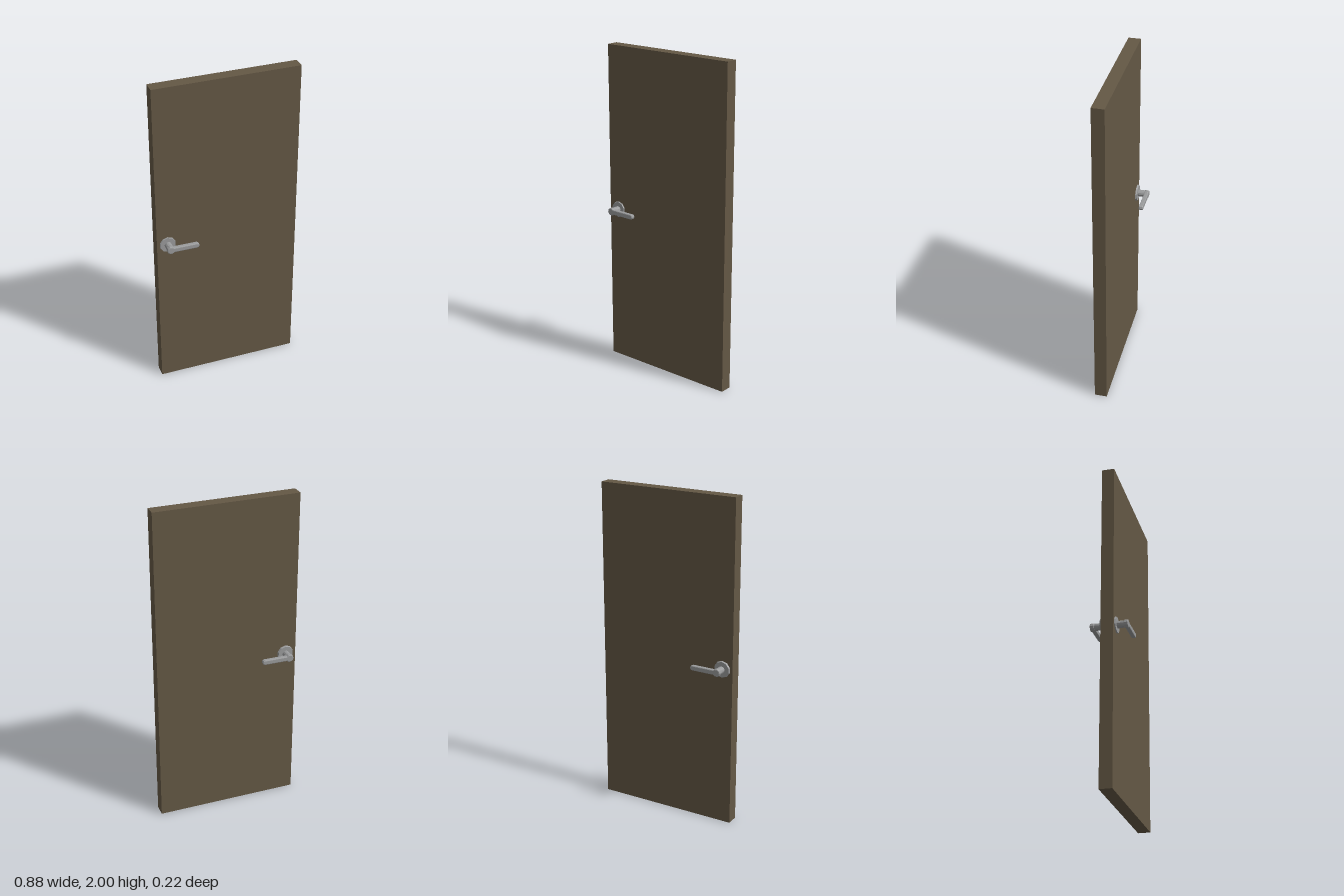
import * as THREE from 'three';

const wood = new THREE.MeshStandardMaterial({ color: 0x645845 });
wood.name = 'brownWood';
const metal = new THREE.MeshStandardMaterial({ color: 0x9a9b9c, flatShading: true });
metal.name = 'greyMetal';

// Cylinder lying along z, from z0 to z1
function disc(name, r0, r1, z0, z1, sides) {
  const geometry = new THREE.CylinderGeometry(r1, r0, z1 - z0, sides);
  geometry.rotateX(Math.PI / 2);
  const mesh = new THREE.Mesh(geometry, metal);
  mesh.name = name;
  mesh.position.z = (z0 + z1) / 2;
  return mesh;
}

// Rounded hub running into a narrower bar with a round tip; side is the x direction of the bar
function leverGeometry(side) {
  const bevel = 0.005;
  const hub = 0.024 - bevel, half = 0.015 - bevel, tip = 0.174 - bevel - half;
  const a = Math.asin(half / hub);
  const shape = new THREE.Shape();
  const points = [];
  for (let i = 0; i <= 8; i++) {
    const t = a + (2 * Math.PI - 2 * a) * i / 8;
    points.push(new THREE.Vector2(side * hub * Math.cos(t), hub * Math.sin(t)));
  }
  for (let i = 0; i <= 4; i++) {
    const t = -Math.PI / 2 + Math.PI * i / 4;
    points.push(new THREE.Vector2(side * (tip + half * Math.cos(t)), half * Math.sin(t)));
  }
  shape.setFromPoints(points);
  return new THREE.ExtrudeGeometry(shape, {
    depth: 0.026 - 2 * bevel, bevelEnabled: true, bevelThickness: bevel,
    bevelSize: bevel, bevelSegments: 2,
  });
}

// Rose, neck and lever, built facing +z
function makeHandle(name, side) {
  const handle = new THREE.Group();
  handle.name = name;
  handle.add(disc('rose', 0.054, 0.048, 0.03, 0.046, 10));
  handle.add(disc('neck', 0.021, 0.021, 0.04, 0.09, 12));
  const lever = new THREE.Mesh(leverGeometry(side), metal);
  lever.name = 'lever';
  lever.position.z = 0.0915;
  handle.add(lever);
  return handle;
}

export function createModel() {
  const model = new THREE.Group();
  model.name = 'door';

  // Door leaf, very slightly ajar
  const leaf = new THREE.Mesh(new THREE.BoxGeometry(0.881, 2, 0.075), wood);
  leaf.name = 'doorLeaf';
  leaf.position.set(0, 1, -0.0025);
  leaf.rotation.y = 0.0114;
  model.add(leaf);

  // Handles on both faces, levers pointing to the hinge side
  const front = makeHandle('frontHandle', 1);
  front.position.set(-0.374, 0.985, 0);
  const back = makeHandle('backHandle', -1);
  back.position.set(-0.374, 0.985, 0);
  back.rotation.y = Math.PI;
  model.add(front, back);
  return model;
}
